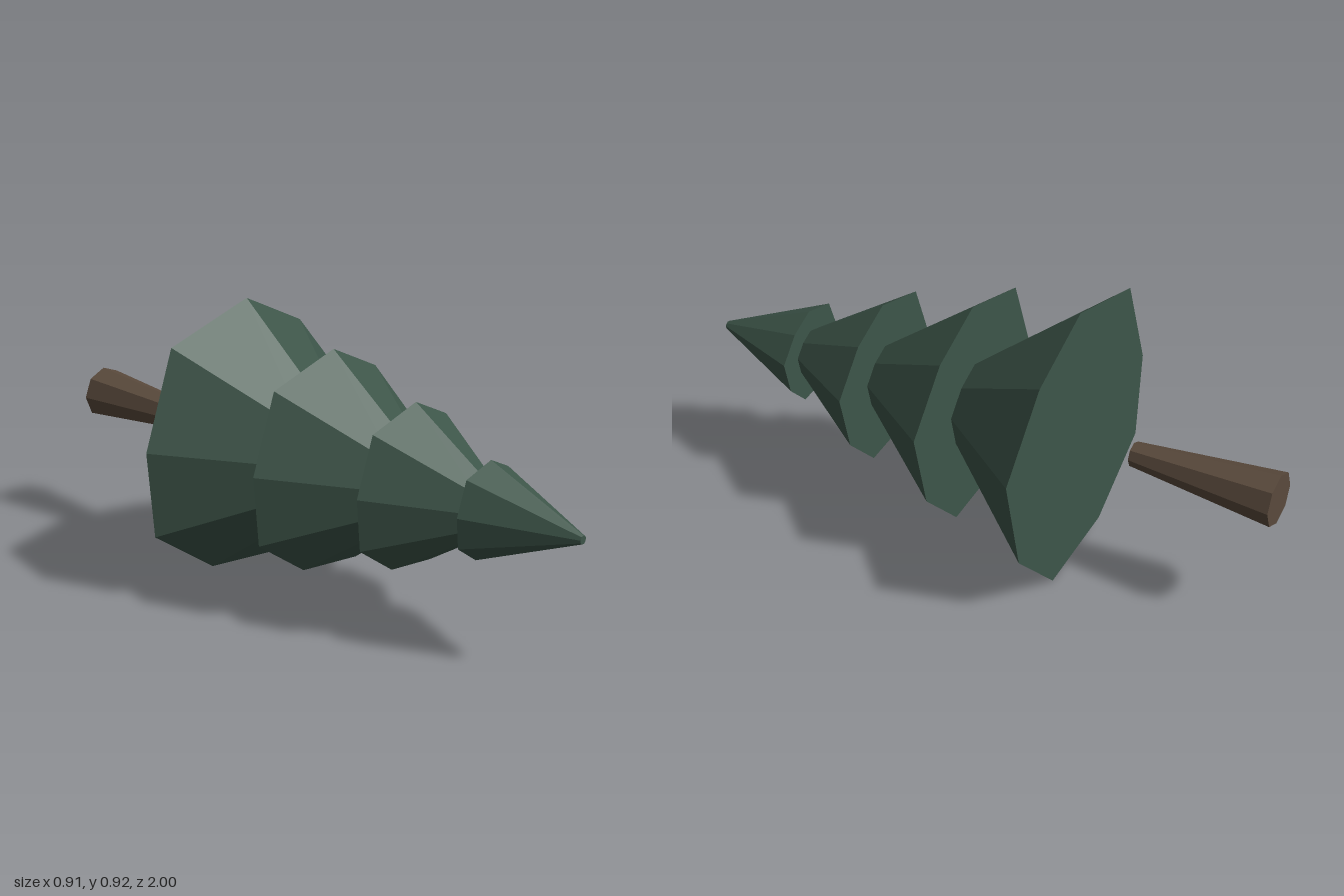
import * as THREE from 'three';

// Axis of the felled tree, running along z with the tip towards +z
const CX = -0.018, CY = 0.459;

// Irregular nine-sided outline of the widest tier, counter-clockwise
const OUTLINE = [
  [0.003, 0.917], [-0.337, 0.83], [-0.457, 0.515], [-0.43, 0.225], [-0.175, 0.043],
  [0.143, 0], [0.37, 0.225], [0.454, 0.557], [0.255, 0.79],
].map(([x, y]) => [x - CX, y - CY]);

// Faceted, closed frustum of the outline between two scaled rings
function tierGeometry(z0, s0, z1, s1) {
  const pos = [];
  const tri = (...pts) => pts.forEach((p) => pos.push(...p));
  const ring = (z, s) => OUTLINE.map(([x, y]) => [x * s, y * s, z]);
  const a = ring(z0, s0), b = ring(z1, s1), n = OUTLINE.length;
  for (let i = 0; i < n; i++) {
    const j = (i + 1) % n;
    tri(a[i], a[j], b[j]);
    tri(a[i], b[j], b[i]);
    tri([0, 0, z0], a[j], a[i]);
    tri([0, 0, z1], b[i], b[j]);
  }
  const geo = new THREE.BufferGeometry();
  geo.setAttribute('position', new THREE.Float32BufferAttribute(pos, 3));
  geo.computeVertexNormals();
  return geo;
}

export function createModel() {
  const group = new THREE.Group();
  group.name = 'lowPolyPine';
  const green = new THREE.MeshStandardMaterial({ color: 0x3d5549, flatShading: true });
  const brown = new THREE.MeshStandardMaterial({ color: 0x5a4a3c, flatShading: true });

  // Foliage tiers: base z, base scale, top z, top scale
  const tiers = [
    [-0.335, 1, 0.037, 0.33],
    [0.037, 0.8, 0.37, 0.25],
    [0.37, 0.59, 0.66, 0.18],
    [0.66, 0.344, 1, 0.03],
  ];
  tiers.forEach((t, i) => {
    const tier = new THREE.Mesh(tierGeometry(...t), green);
    tier.name = `foliageTier${i + 1}`;
    tier.position.set(CX, CY, 0);
    group.add(tier);
  });

  // Tapered eight-sided trunk, set apart behind the foliage
  const trunk = new THREE.Mesh(
    new THREE.CylinderGeometry(0.04, 0.087, 0.48, 8).rotateX(Math.PI / 2), brown);
  trunk.name = 'trunk';
  trunk.position.set(-0.019, 0.458, -0.76);
  group.add(trunk);

  return group;
}
